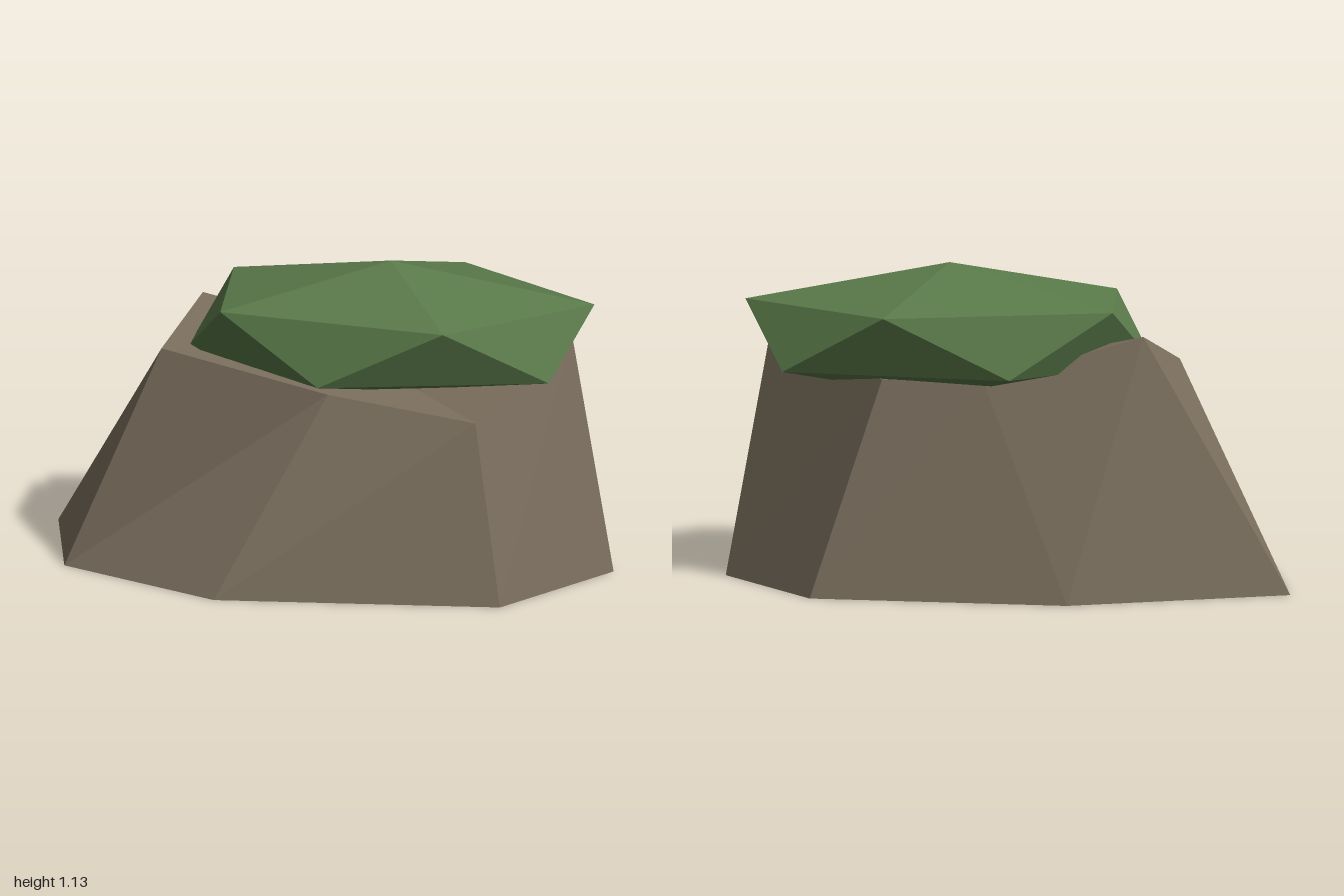
import * as THREE from 'three';

const stone = new THREE.MeshStandardMaterial({ name: 'stone brown', color: 0x7a6e5d });
const moss = new THREE.MeshStandardMaterial({ name: 'moss green', color: 0x5a7a4a });
stone.flatShading = moss.flatShading = true;

// Faceted solid between two rings (counterclockwise from above), closed by fans to two poles
function facetedSolid(name, lower, upper, bottomPole, topPole, material) {
  const corners = [];
  const n = lower.length;
  for (let i = 0; i < n; i++) {
    const j = (i + 1) % n;
    corners.push(
      lower[i], lower[j], upper[j],
      lower[i], upper[j], upper[i],
      upper[i], upper[j], topPole,
      lower[j], lower[i], bottomPole
    );
  }
  const geometry = new THREE.BufferGeometry();
  geometry.setAttribute('position', new THREE.Float32BufferAttribute(corners.flat(), 3));
  geometry.computeVertexNormals();
  const mesh = new THREE.Mesh(geometry, material);
  mesh.name = name;
  return mesh;
}

// Irregular seven-sided boulder, narrowing to an uneven rim
function createBoulder() {
  const base = [
    [-1, 0, -0.25], [-0.93, 0, 0.19], [-0.37, 0, 0.465], [0.64, 0, 0.425],
    [1, 0, 0.035], [0.69, 0, -0.37], [-0.22, 0, -0.47]
  ];
  const rim = [
    [-0.48, 0.91, -0.18], [-0.6, 0.785, 0.06], [0, 0.67, 0.15], [0.53, 0.61, 0.215],
    [0.845, 0.867, -0.03], [0.44, 0.76, -0.225], [0.08, 0.75, -0.23]
  ];
  return facetedSolid('boulder', base, rim, [0, 0, 0], [0.1, 0.76, 0], stone);
}

// Flattened twenty-sided moss cap, its two rings turned by half a step
function createMossCap() {
  const cx = 0.21, cy = 0.89, cz = 0.015, height = 0.245;
  const ring = (y, turn) => Array.from({ length: 5 }, (_, i) => {
    const a = (i + turn) * Math.PI * 2 / 5;
    return [cx + 0.72 * Math.cos(a), y, cz - 0.373 * Math.sin(a)];
  });
  return facetedSolid('mossCap', ring(0.78, 0.5), ring(1, 0),
    [cx, cy - height, cz], [cx, cy + height, cz], moss);
}

export function createModel() {
  const group = new THREE.Group();
  group.name = 'mossyRock';
  group.add(createBoulder(), createMossCap());
  return group;
}
